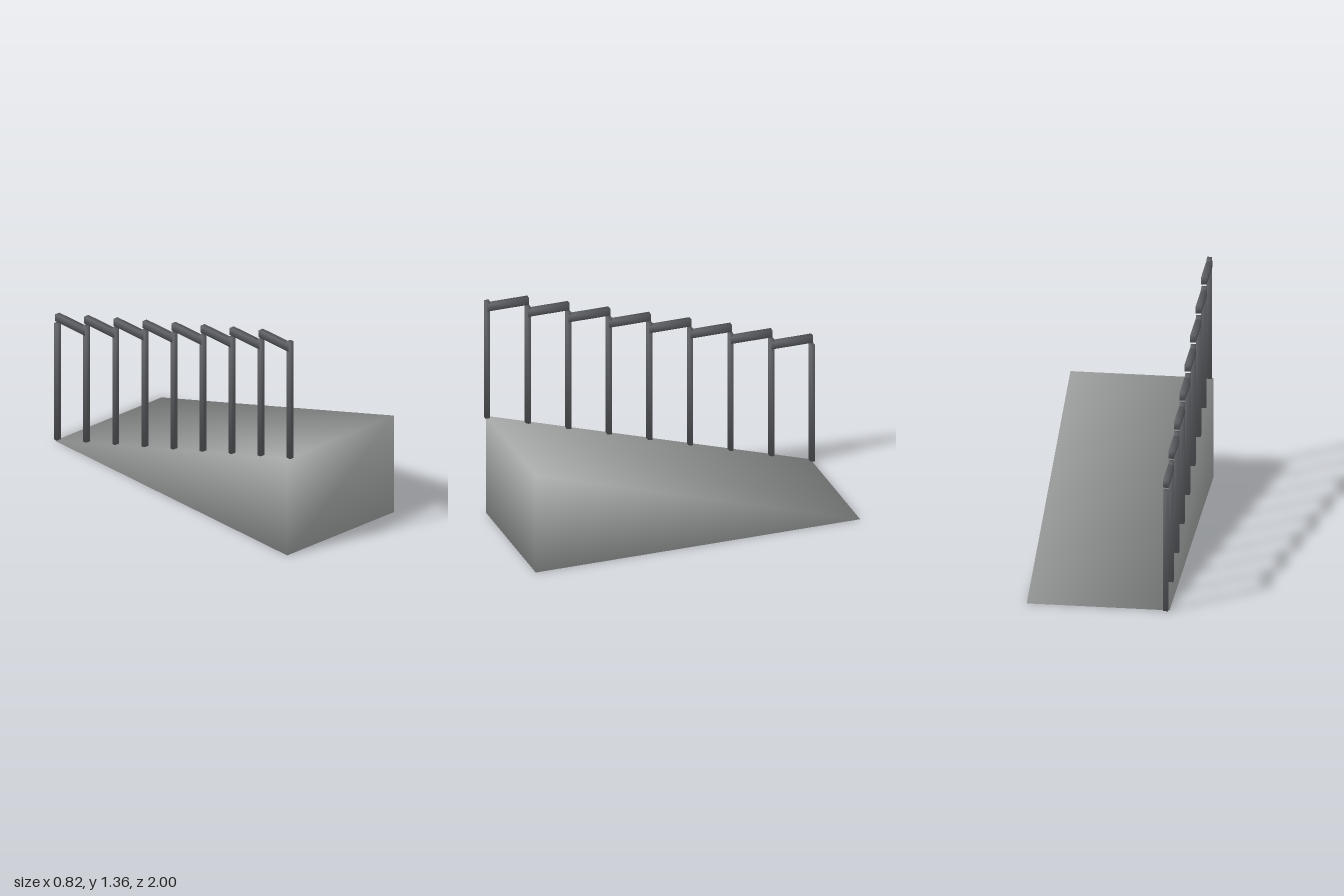
import * as THREE from 'three';

const HALF_W = 0.41, HALF_L = 0.985, RISE = 0.615;
const POSTS = 9, POST_H = 0.742, POST_W = 0.028, RAIL_X = -0.388;

// Prism: a convex [y, z] profile carried across x, with soft normals
// averaged over the faces that meet at each corner, weighted by their angle
function prism(profile, halfWidth) {
  const n = profile.length;
  const points = [-halfWidth, halfWidth].flatMap(x => profile.map(([y, z]) => new THREE.Vector3(x, y, z)));
  const normals = points.map(() => new THREE.Vector3());
  const ring = profile.map((_, i) => i);
  const sides = ring.map(i => [i, i + n, (i + 1) % n + n, (i + 1) % n]);
  const faces = [ring, ring.map(i => 2 * n - 1 - i), ...sides];
  const index = [];

  for (const face of faces) {
    face.forEach((corner, k) => {
      const next = points[face[(k + 1) % face.length]].clone().sub(points[corner]);
      const prev = points[face.at(k - 1)].clone().sub(points[corner]);
      const angle = next.angleTo(prev);
      normals[corner].addScaledVector(next.cross(prev).normalize(), angle);
    });
    for (let k = 1; k < face.length - 1; k++) index.push(face[0], face[k], face[k + 1]);
  }

  const flat = vectors => new THREE.Float32BufferAttribute(vectors.flatMap(v => v.toArray()), 3);
  const geometry = new THREE.BufferGeometry();
  geometry.setAttribute('position', flat(points));
  geometry.setAttribute('normal', flat(normals.map(v => v.normalize())));
  geometry.setIndex(index);
  return geometry;
}

const bar = (width, height, depth) => {
  const h = height / 2, d = depth / 2;
  return prism([[-h, d], [h, d], [h, -d], [-h, -d]], width / 2);
};

export function createModel() {
  const group = new THREE.Group();
  const grey = new THREE.MeshStandardMaterial({ color: 0xacaeae });
  const dark = new THREE.MeshStandardMaterial({ color: 0x626468 });

  const add = (name, geometry, material, x = 0, y = 0, z = 0) => {
    const mesh = new THREE.Mesh(geometry, material);
    mesh.name = name;
    mesh.position.set(x, y, z);
    group.add(mesh);
  };

  // Solid wedge, high at the front
  add('ramp', prism([[0, HALF_L], [RISE, HALF_L], [0, -HALF_L]], HALF_W), grey);

  // Stepped handrail along the right edge
  const zStart = 1 - POST_W / 2;
  const step = 2 * zStart / (POSTS - 1);
  const postGeometry = bar(POST_W, POST_H, POST_W);
  const railGeometry = bar(0.032, 0.044, step + 0.006);
  for (let i = 0; i < POSTS; i++) {
    const z = zStart - i * step;
    const foot = RISE * (1 - i / (POSTS - 1));
    add('post', postGeometry, dark, RAIL_X, foot + POST_H / 2, z);
    if (i < POSTS - 1) {
      add('handrail', railGeometry, dark, RAIL_X, foot + POST_H - 0.039, z - step / 2);
    }
  }
  return group;
}
